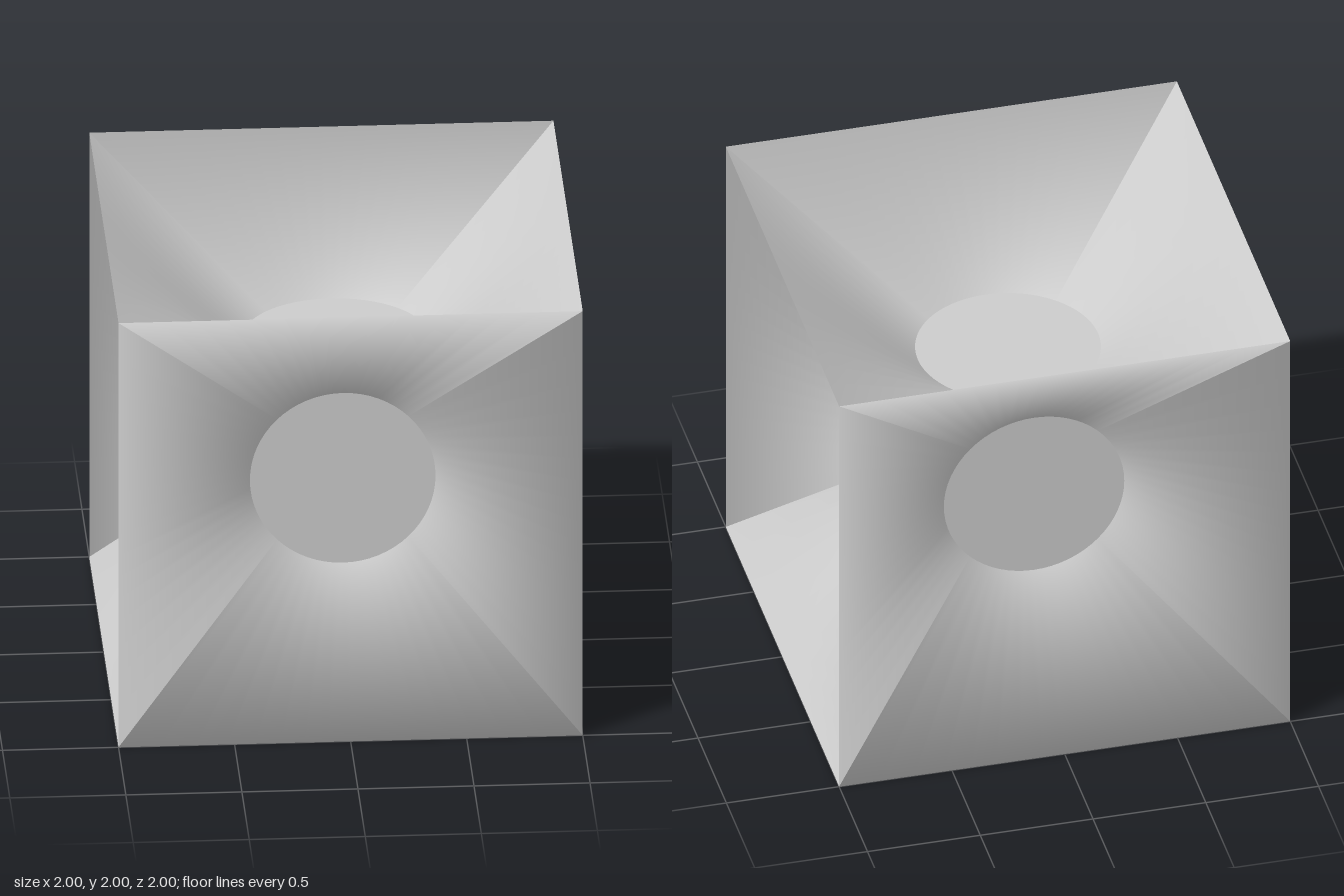
import * as THREE from 'three';
import { mergeGeometries } from 'three/addons/utils/BufferGeometryUtils.js';

const HALF = 1;        // half the cube's side
const DISC_R = 0.4;    // radius of the round floor in each face
const DISC_D = 0.46;   // distance of each floor from the cube's centre
const SEGMENTS = 16;   // steps along one side of a funnel

// One quarter of a funnel: ruled surface from an arc of the disc to one cube edge (local +x side).
// A soft edge shades smoothly over the rim into the neighbouring face.
function funnelSide(soft) {
  const positions = [], normals = [], index = [];
  const along = new THREE.Vector3(0, 1, 0);
  const rim = new THREE.Vector3(1, 0, 1).normalize();
  for (let i = 0; i <= SEGMENTS; i++) {
    const a = -Math.PI / 4 + (Math.PI / 2) * (i / SEGMENTS);
    const inner = new THREE.Vector3(DISC_R * Math.cos(a), DISC_R * Math.sin(a), DISC_D);
    const outer = new THREE.Vector3(HALF, HALF * Math.tan(a), HALF);
    const slope = outer.clone().sub(inner);
    const tangent = new THREE.Vector3(-Math.sin(a), Math.cos(a), 0);
    const nInner = slope.clone().cross(tangent).normalize();
    const nOuter = soft ? rim : slope.clone().cross(along).normalize();
    positions.push(...inner.toArray(), ...outer.toArray());
    normals.push(...nInner.toArray(), ...nOuter.toArray());
    if (i < SEGMENTS) {
      const k = i * 2;
      index.push(k, k + 1, k + 2, k + 2, k + 1, k + 3);
    }
  }
  const g = new THREE.BufferGeometry();
  g.setAttribute('position', new THREE.Float32BufferAttribute(positions, 3));
  g.setAttribute('normal', new THREE.Float32BufferAttribute(normals, 3));
  g.setIndex(index);
  return g;
}

// Four quarters around the disc
function funnel(softSides) {
  return mergeGeometries(softSides.map((soft, i) => funnelSide(soft).rotateZ(i * Math.PI / 2)));
}

export function createModel() {
  const model = new THREE.Group();
  model.name = 'funnelCube';
  const material = new THREE.MeshStandardMaterial({ color: 0xcccccc });
  const disc = new THREE.CircleGeometry(DISC_R, SEGMENTS * 4);
  const q = Math.PI / 2;

  // Name, rotation about x, rotation about y, soft sides (+x, +y, -x, -y of the face)
  const faces = [
    ['front', 0, 0, [true, true, true, true]],
    ['back', 0, Math.PI, [true, true, true, true]],
    ['left', 0, q, [true, false, true, false]],
    ['right', 0, -q, [true, false, true, false]],
    ['top', -q, 0, [false, true, false, true]],
    ['bottom', q, 0, [false, true, false, true]],
  ];
  for (const [name, rx, ry, soft] of faces) {
    const face = new THREE.Group();
    face.name = name + 'Face';
    face.rotation.set(rx, ry, 0);
    face.position.y = HALF;

    // Sloping walls
    const walls = new THREE.Mesh(funnel(soft), material);
    walls.name = name + 'Funnel';

    // Round floor
    const floor = new THREE.Mesh(disc, material);
    floor.name = name + 'Disc';
    floor.position.z = DISC_D;

    face.add(walls, floor);
    model.add(face);
  }
  return model;
}
